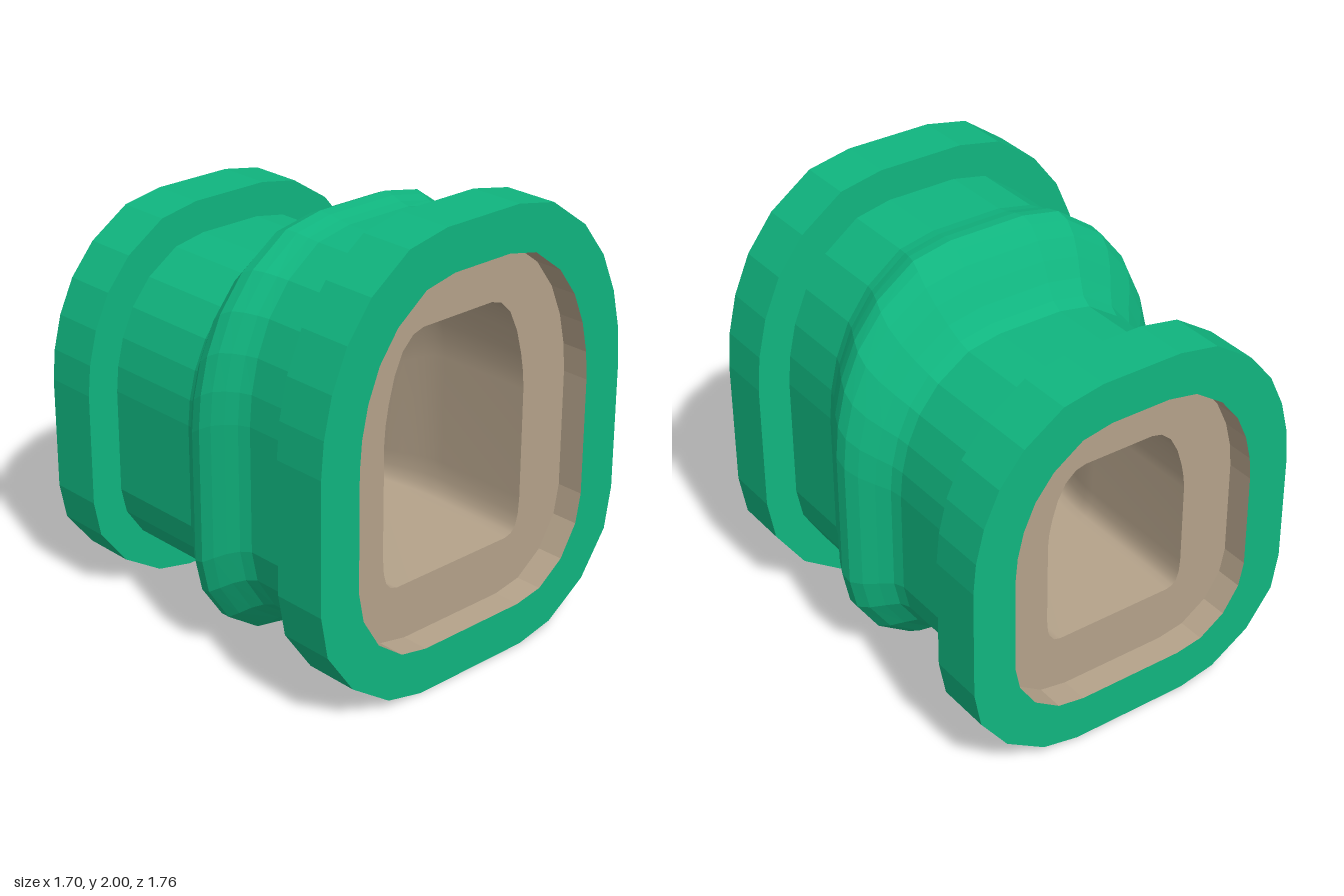
import * as THREE from 'three';

// Half outlines, top centre to bottom centre: [share of half width, share of height]
const UPPER = [[0.235, 1], [0.47, 0.98], [0.7, 0.91], [0.845, 0.83], [0.935, 0.742], [0.983, 0.655], [1, 0.575]];
const FLANGE = [...UPPER, [1, 0.28], [0.96, 0.185], [0.8, 0.0875], [0.565, 0.02], [0.35, 0]];
const TUBE = [...UPPER, [1, 0.245], [0.96, 0.162], [0.83, 0.075], [0.63, 0.016], [0.42, 0]];
const BORE = [[0.48, 1], [0.62, 0.985], [0.76, 0.935], [0.87, 0.85], [0.945, 0.75], [0.985, 0.67], [1, 0.6],
  [1, 0.15], [0.985, 0.08], [0.95, 0.035], [0.89, 0.01], [0.8, 0]];

// Closed outline at depth z, counter-clockwise seen from the front
function ring(half, z, w, bottom, top) {
  const right = half.map(([u, v]) => [u * w, bottom + v * (top - bottom), z]).reverse();
  const left = right.map(([x, y]) => [-x, y, z]).reverse();
  return [...right, ...left];
}

// Skin through a row of outlines
function loft(rings, smooth = false) {
  const n = rings[0].length;
  const index = [];
  for (let i = 0; i < rings.length - 1; i++) {
    for (let j = 0; j < n; j++) {
      const a = i * n + j, b = i * n + (j + 1) % n;
      const c = a + n, d = b + n;
      // annular faces run in one plane, walls run along z: the same corner order serves both
      const flat = rings[i][0][2] === rings[i + 1][0][2];
      if (flat) index.push(a, c, b, b, c, d);
      else index.push(a, c, b, b, c, d);
    }
  }
  let geo = new THREE.BufferGeometry();
  geo.setAttribute('position', new THREE.Float32BufferAttribute(rings.flat(2), 3));
  geo.setIndex(index);
  if (!smooth) geo = geo.toNonIndexed();
  geo.computeVertexNormals();
  return geo;
}

export function createModel() {
  const group = new THREE.Group();
  const green = new THREE.MeshStandardMaterial({ color: 0x10b57f });
  green.name = 'green shell';
  const tan = new THREE.MeshStandardMaterial({ color: 0xb4a28a });
  tan.name = 'tan liner';

  const add = (name, material, rings, smooth) => {
    const mesh = new THREE.Mesh(loft(rings, smooth), material);
    mesh.name = name;
    group.add(mesh);
  };

  const END = 0.88, STEP = 0.63, FLOOR = 0.755;
  const frontTube = [0.7, 0.155, 1.85], backTube = [0.65, 0.155, 1.57];
  const frontRecess = [0.65, 0.2, 1.805], backRecess = [0.6, 0.2, 1.525];
  const frontBore = [0.4, 0.45, 1.555], backBore = [0.35, 0.45, 1.275];

  // End flanges, open in the middle
  add('frontFlange', green, [
    ring(TUBE, END, ...frontRecess),
    ring(FLANGE, END, 0.85, 0, 2),
    ring(FLANGE, STEP, 0.85, 0, 2),
    ring(TUBE, STEP, ...frontTube),
  ]);
  add('backFlange', green, [
    ring(TUBE, -STEP, ...backTube),
    ring(FLANGE, -STEP, 0.8, 0, 1.72),
    ring(FLANGE, -END, 0.8, 0, 1.72),
    ring(TUBE, -END, ...backRecess),
  ]);

  // Sleeve with a bulging collar: z, half width, bottom, top
  const sleeve = [
    [STEP, ...frontTube], [0.3, ...frontTube],
    [0.25, 0.72, 0.14, 1.858], [0.2, 0.75, 0.11, 1.87], [0.15, 0.778, 0.07, 1.876],
    [0.1, 0.798, 0.036, 1.855], [0.05, 0.793, 0.036, 1.8], [0, 0.76, 0.065, 1.73],
    [-0.05, 0.71, 0.105, 1.655], [-0.1, 0.666, 0.142, 1.595],
    [-0.15, ...backTube], [-STEP, ...backTube],
  ];
  add('sleeve', green, sleeve.map((s) => ring(TUBE, ...s)));

  // Recessed seats at both ends
  add('frontSeat', tan, [
    ring(BORE, FLOOR, ...frontBore),
    ring(TUBE, FLOOR, ...frontRecess),
    ring(TUBE, END, ...frontRecess),
  ]);
  add('backSeat', tan, [
    ring(TUBE, -END, ...backRecess),
    ring(TUBE, -FLOOR, ...backRecess),
    ring(BORE, -FLOOR, ...backBore),
  ]);

  // Smooth bore that eases from the small back opening to the large front one
  const bore = [ring(BORE, -FLOOR, ...backBore)];
  for (let i = 0; i <= 8; i++) {
    const t = i / 8, s = t * t * (3 - 2 * t);
    const size = backBore.map((v, k) => THREE.MathUtils.lerp(v, frontBore[k], s));
    bore.push(ring(BORE, -0.15 + 0.45 * t, ...size));
  }
  bore.push(ring(BORE, FLOOR, ...frontBore));
  add('bore', tan, bore, true);

  return group;
}
